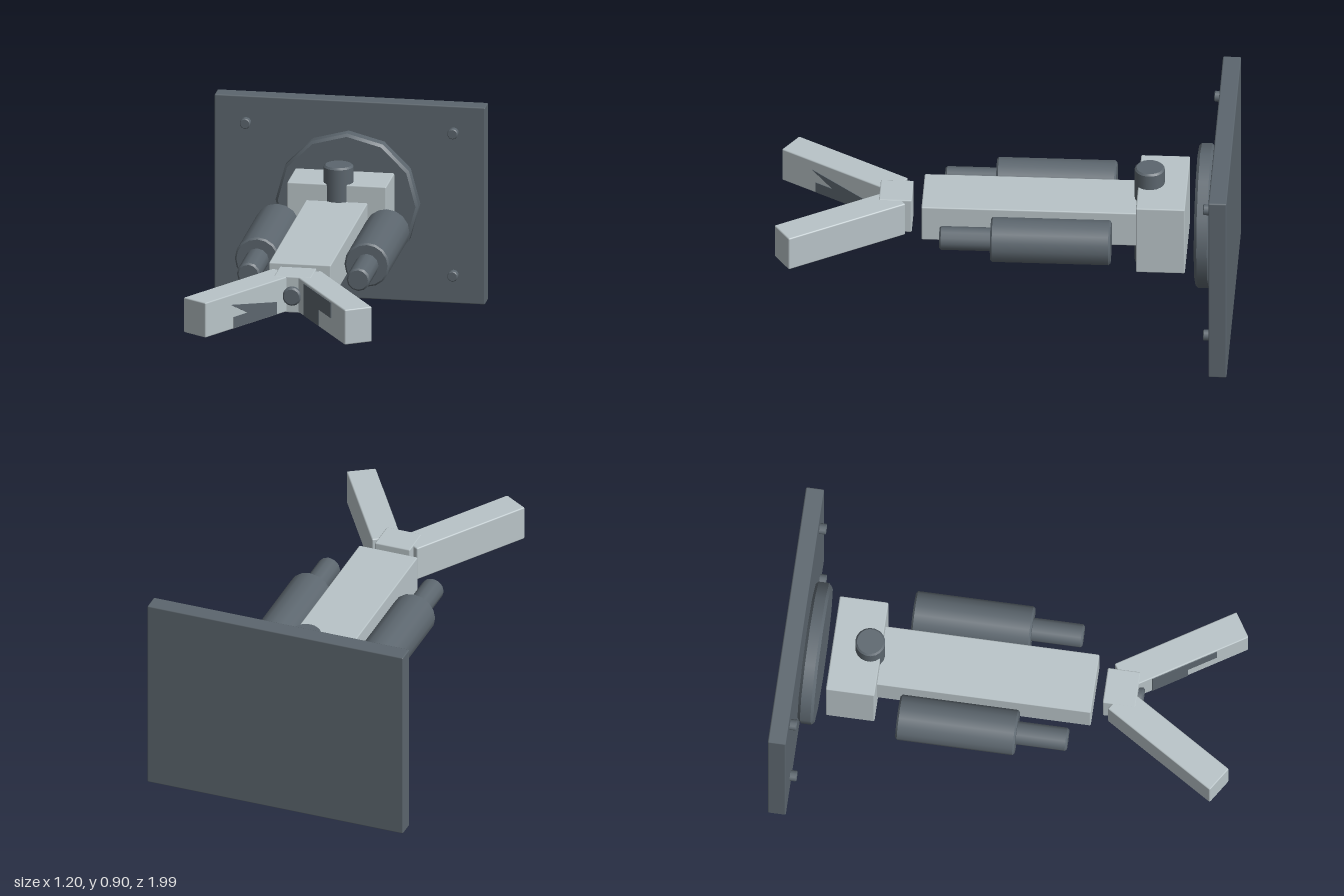
import * as THREE from 'three';
import { RoundedBoxGeometry } from 'three/addons/geometries/RoundedBoxGeometry.js';

const AXIS_Y = 0.455; // height of the arm's centre line

export function createModel() {
  const model = new THREE.Group();
  model.name = 'wallMountedGripperArm';
  const dark = new THREE.MeshStandardMaterial({ color: 0x5c666e });
  dark.name = 'dark steel';
  const light = new THREE.MeshStandardMaterial({ color: 0xb9c4c8 });
  light.name = 'pale metal';

  const add = (name, geometry, material, x, y, z, parent = model) => {
    const mesh = new THREE.Mesh(geometry, material);
    mesh.name = name;
    mesh.position.set(x, y, z);
    parent.add(mesh);
    return mesh;
  };
  const box = (w, h, d) => new RoundedBoxGeometry(w, h, d, 1, 0.006);

  // Cylinder with a small bevel on both rims, along y or turned along z
  const rod = (r, length, sides, alongZ = true, bevel = 0.008) => {
    const h = length / 2;
    const parts = [[0, -h], [r - bevel, -h], [r - bevel, -h], [r, -h + bevel], [r, -h + bevel],
      [r, h - bevel], [r, h - bevel], [r - bevel, h], [r - bevel, h], [0, h]];
    const g = new THREE.LatheGeometry(parts.map(([x, y]) => new THREE.Vector2(x, y)), sides);
    if (alongZ) g.rotateX(Math.PI / 2);
    return g;
  };
  const zRod = (name, r, z0, z1, x, y, sides, bevel) =>
    add(name, rod(r, z1 - z0, sides, true, bevel), dark, x, y, (z0 + z1) / 2);

  // Wall plate, corner bolts and turntable disc
  add('wallPlate', box(1.2, 0.9, 0.08), dark, 0, 0.45, -0.96);
  for (const x of [-0.46, 0.46])
    for (const y of [0.13, 0.78]) zRod('plateBolt', 0.024, -0.925, -0.89, x, y, 10, 0.004);
  zRod('turntable', 0.317, -0.91, -0.84, 0, AXIS_Y, 12, 0.012);

  // Shoulder block, hinge pin and arm beam
  add('shoulderBlock', box(0.44, 0.33, 0.215), light, 0, AXIS_Y, -0.69);
  add('hingePin', rod(0.066, 0.485, 18, false), dark, 0, AXIS_Y, -0.632);
  add('armBeam', box(0.275, 0.168, 0.95), light, 0, AXIS_Y + 0.003, -0.115);

  // Pistons on each side
  for (const side of [-1, 1]) {
    zRod('pistonBody', 0.1, -0.475, 0.05, side * 0.243, AXIS_Y, 16);
    zRod('pistonRod', 0.052, 0.04, 0.275, side * 0.243, AXIS_Y, 12);
  }

  // Gripper hub and its central pin
  add('gripperHub', box(0.165, 0.165, 0.145), light, 0, AXIS_Y + 0.003, 0.477);
  zRod('gripperPin', 0.042, 0.5, 0.575, 0, AXIS_Y, 14);

  // Spread fingers with dark patches on the inner faces
  const width = 0.13, length = 0.585;
  const patches = {
    '1': [[-0.17, -0.075], [0.0, -0.075], [0.0, 0.0], [0.14, 0.0], [0.14, 0.07], [-0.17, 0.07]],
    '-1': [[-0.17, -0.075], [0.11, -0.075], [0.11, -0.025], [0.02, -0.025], [0.13, 0.035], [-0.17, -0.02]],
  };
  for (const side of [-1, 1]) {
    const finger = new THREE.Group();
    finger.name = side > 0 ? 'leftFinger' : 'rightFinger';
    finger.position.set(side * 0.207, AXIS_Y + 0.003, 0.712);
    finger.rotation.y = side * 0.564;
    model.add(finger);
    add('fingerBar', box(width, 0.16, length), light, 0, 0, 0, finger);
    const shape = new THREE.Shape(patches[side].map(([u, v]) => new THREE.Vector2(-side * u * -1, v)));
    const plate = new THREE.ExtrudeGeometry(shape, { depth: 0.003, bevelEnabled: false });
    const pad = add('gripPatch', plate, dark, -side * width / 2, 0, 0, finger);
    pad.rotation.y = -side * Math.PI / 2; // faces the other finger
  }
  return model;
}
